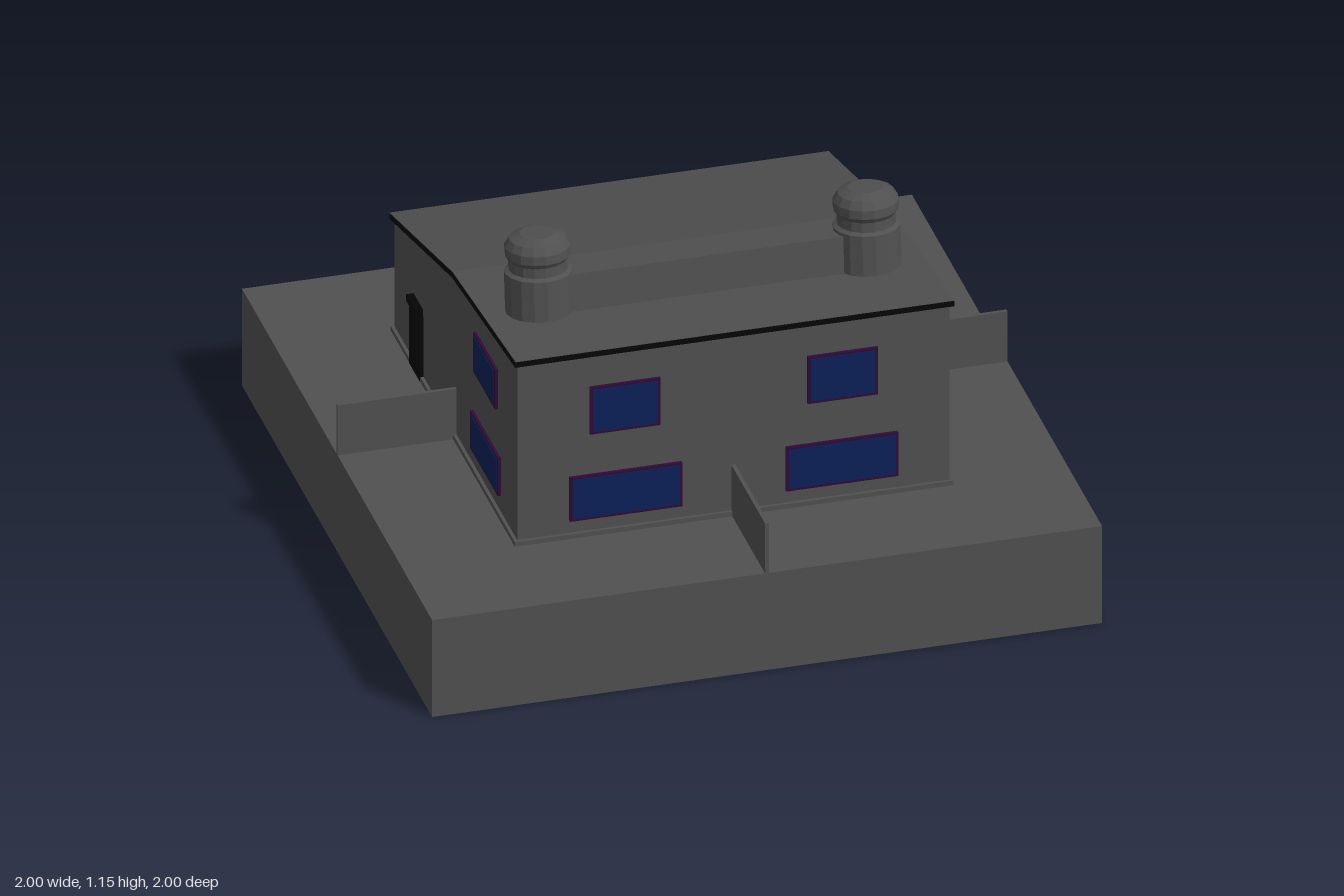
import * as THREE from 'three';

const material = (name, color) => {
  const m = new THREE.MeshStandardMaterial({ color });
  m.name = name;
  return m;
};

export function createModel() {
  const house = new THREE.Group();
  house.name = 'house';
  const grey = material('stone grey', 0x505050);
  const black = material('black trim', 0x050505);
  const blue = material('window blue', 0x0c2058);
  const purple = material('frame purple', 0x300a38);

  const add = (parent, name, geometry, mat, x = 0, y = 0, z = 0) => {
    const mesh = new THREE.Mesh(geometry, mat);
    mesh.name = name;
    mesh.position.set(x, y, z);
    parent.add(mesh);
    return mesh;
  };
  const box = (name, mat, w, h, d, x, y, z, parent = house) =>
    add(parent, name, new THREE.BoxGeometry(w, h, d), mat, x, y, z);

  // Extrude a side profile of [z, y] points across the width of the house
  const profile = (name, mat, points, width) => {
    const shape = new THREE.Shape(points.map(([z, y]) => new THREE.Vector2(z, y)));
    const g = new THREE.ExtrudeGeometry(shape, { depth: width, bevelEnabled: false });
    g.translate(0, 0, -width / 2).rotateY(-Math.PI / 2);
    return add(house, name, g, mat);
  };

  // Ground block and plinth
  box('groundBlock', grey, 2, 0.32, 2, 0, 0.16, 0);
  box('plinth', grey, 1.31, 0.015, 1.31, 0, 0.3275, 0);

  // Garden walls, one from the middle of each side
  for (const s of [-1, 1]) {
    box('gardenWall', grey, 0.012, 0.165, 0.355, 0, 0.4025, s * 0.8225);
    box('gardenWall', grey, 0.355, 0.165, 0.012, s * 0.8225, 0.4025, 0);
  }

  // House body and bent roof: black slab with a grey covering
  profile('walls', grey,
    [[-0.645, 0.32], [0.645, 0.32], [0.645, 0.918], [0, 0.856], [-0.645, 0.69]], 1.29);
  const ridge = [[0.662, 0.934], [0, 0.869], [-0.662, 0.702]];
  const layer = (low, high) => [
    ...ridge.map(([z, y]) => [z, y + high]),
    ...[...ridge].reverse().map(([z, y]) => [z, y + low]),
  ];
  profile('roofSlab', black, layer(-0.019, -0.001), 1.312);
  profile('roofCovering', grey, layer(-0.001, 0.001), 1.31);

  // Windows: a purple frame plate with a blue pane on it, facing local +z
  const window = (w, h, x, y, z, turn) => {
    const g = new THREE.Group();
    g.name = 'window';
    box('windowFrame', purple, w, h, 0.009, 0, 0, 0.0045, g);
    box('windowPane', blue, w - 0.016, h - 0.016, 0.003, 0, 0, 0.0095, g);
    g.position.set(x, y, z);
    g.rotation.y = turn;
    house.add(g);
  };
  for (const s of [-1, 1]) {
    window(0.21, 0.155, s * 0.325, 0.732, 0.645, 0);
    window(0.335, 0.145, s * 0.3225, 0.448, 0.645, 0);
    window(0.23, 0.13, s * 0.645, 0.722, 0.327, s * Math.PI / 2);
    window(0.29, 0.125, s * 0.645, 0.449, 0.327, s * Math.PI / 2);
    for (const x of [0.165, 0.482]) window(0.145, 0.25, s * x, 0.52, -0.645, Math.PI);

    // Side door with a small canopy
    box('door', black, 0.014, 0.21, 0.11, s * 0.65, 0.427, -0.395);
    box('doorCanopy', black, 0.03, 0.022, 0.1, s * 0.652, 0.543, -0.395);
  }

  // Chimneys and linking wall, square to the front roof slope
  const stack = new THREE.Group();
  stack.name = 'chimneyStack';
  stack.position.set(0, 0.88, 0.332);
  stack.rotation.x = -0.098;
  house.add(stack);
  const outline = [
    [0.099, 0], [0.099, 0.148], [0.086, 0.155], [0.086, 0.185], [0.096, 0.2],
    [0.096, 0.227], [0.082, 0.25], [0.05, 0.264], [0, 0.264],
  ].map(([r, y]) => new THREE.Vector2(r, y));
  const chimney = new THREE.LatheGeometry(outline, 16).toNonIndexed();
  chimney.computeVertexNormals();
  for (const s of [-1, 1]) add(stack, 'chimney', chimney, grey, s * 0.49);
  box('chimneyLinkWall', grey, 0.86, 0.139, 0.1, 0, 0.0695, 0, stack);

  return house;
}
